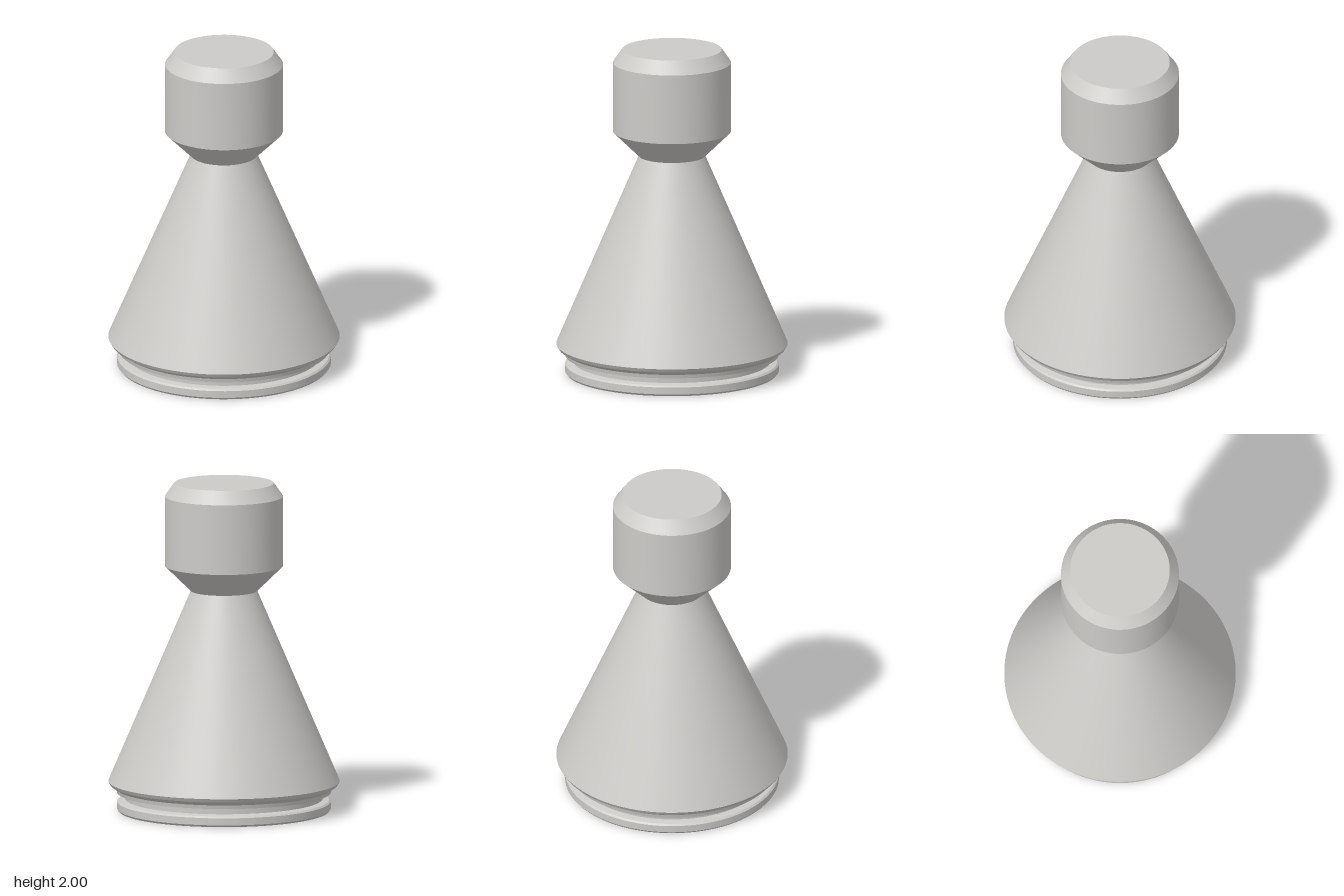
import * as THREE from 'three';
import { toCreasedNormals } from 'three/addons/utils/BufferGeometryUtils.js';

const SEGMENTS = 96;

export function createModel() {
  const group = new THREE.Group();
  group.name = 'pawnPiece';
  const lightGrey = new THREE.MeshStandardMaterial({ color: 0xcccbc8 });
  lightGrey.name = 'lightGrey';

  // Turn a [radius, height] profile, listed from bottom to top
  function turn(name, profile) {
    const points = profile.map(([r, y]) => new THREE.Vector2(r, y));
    const geometry = toCreasedNormals(new THREE.LatheGeometry(points, SEGMENTS), 0.35);
    const mesh = new THREE.Mesh(geometry, lightGrey);
    mesh.name = name;
    group.add(mesh);
  }

  // Base disc with softened edges
  turn('baseDisc', [[0, 0], [0.635, 0], [0.645, 0.012], [0.645, 0.055], [0.635, 0.065], [0.595, 0.072]]);

  // Recessed groove between disc and skirt
  turn('groove', [[0.595, 0.072], [0.595, 0.105]]);

  // Stepped lip and tapering body
  turn('body', [[0.595, 0.105], [0.645, 0.112], [0.65, 0.135], [0.685, 0.158], [0.698, 0.18], [0.69, 0.2], [0.2, 1.342]]);

  // Bevelled cylindrical head
  turn('head', [[0.2, 1.342], [0.356, 1.495], [0.356, 1.92], [0.3, 2], [0, 2]]);

  return group;
}
